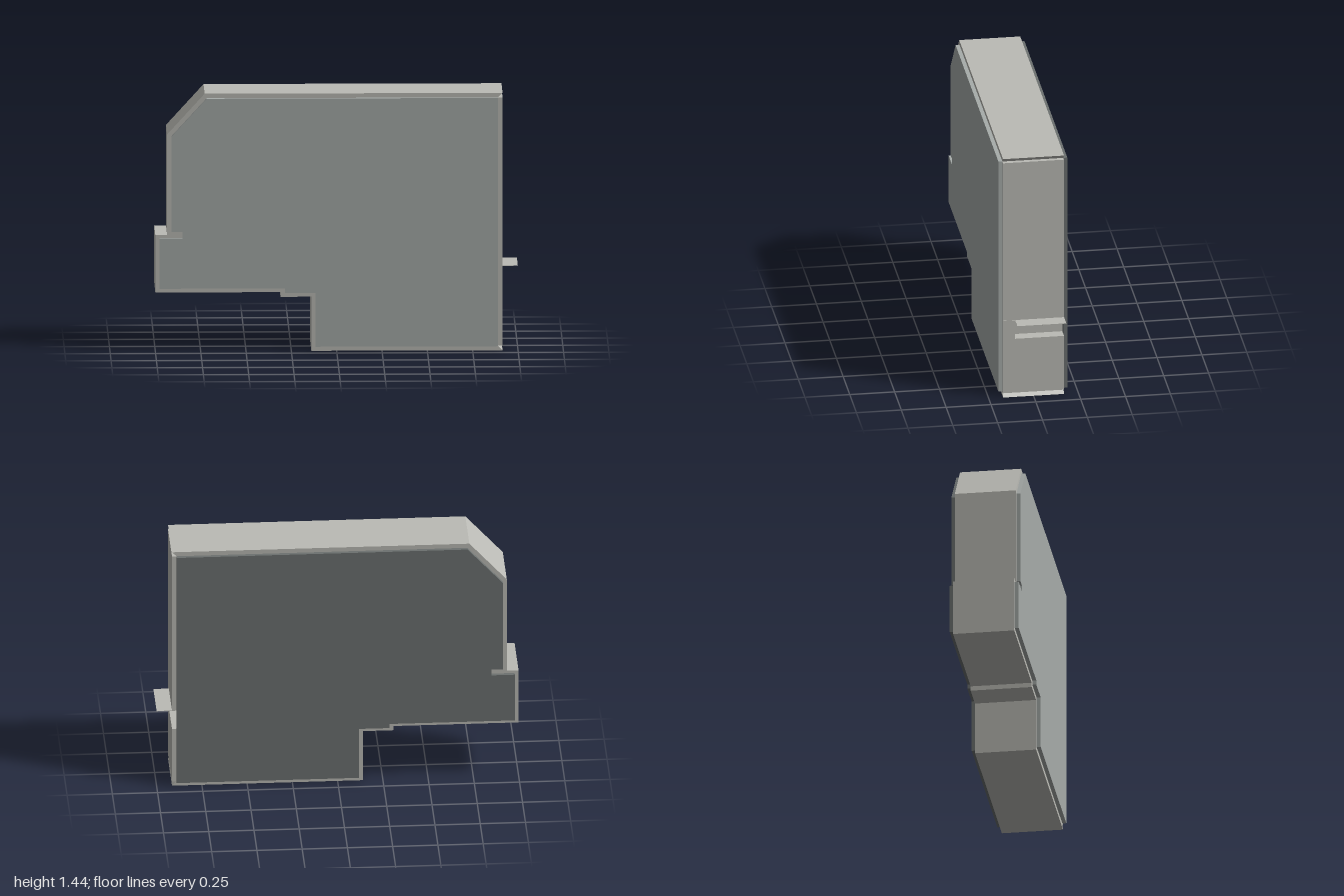
import * as THREE from 'three';

const material = (color) => new THREE.MeshStandardMaterial({ color, flatShading: true, side: THREE.DoubleSide });
const skinGrey = material(0xbbbbb5);
const frontGrey = material(0xa7acaa);
const backGrey = material(0x6c7170);

const HALF = 0.17; // half width of the folded skin
const PLATE = 0.022; // thickness of the side covers

// Outer and inner lines of the folded skin, from top front round the back to bottom front
const outer = [
  [0.915, 1.437], [-0.728, 1.437], [-0.935, 1.21], [-0.935, 0.648], [-1, 0.648], [-1, 0.328],
  [-0.31, 0.328], [-0.31, 0.302], [-0.14, 0.302], [-0.14, 0], [0.915, 0],
];
const inner = [
  [0.89, 1.412], [-0.717, 1.412], [-0.912, 1.2], [-0.912, 0.668], [-0.85, 0.668], [-0.85, 0.633],
  [-0.978, 0.633], [-0.978, 0.352], [-0.285, 0.352], [-0.285, 0.327], [-0.118, 0.327],
  [-0.118, 0.026], [0.89, 0.026],
];

function extrude(points, depth) {
  const shape = new THREE.Shape(points.map(([x, y]) => new THREE.Vector2(x, y)));
  return new THREE.ExtrudeGeometry(shape, { depth, bevelEnabled: false });
}

function add(group, name, geometry, mat = skinGrey) {
  const mesh = new THREE.Mesh(geometry, mat);
  mesh.name = name;
  group.add(mesh);
  return mesh;
}

// Box given by its low and high corners
function addBox(group, name, low, high) {
  const size = high.map((h, i) => h - low[i]);
  const middle = high.map((h, i) => (h + low[i]) / 2);
  return add(group, name, new THREE.BoxGeometry(...size)).position.set(...middle);
}

export function createModel() {
  const model = new THREE.Group();
  model.name = 'enclosure';

  // Folded skin with mitred ends, open towards the end panel
  add(model, 'skin', extrude([...outer, ...[...inner].reverse()], HALF * 2)).position.z = -HALF;

  // Raised covers on both broad sides
  add(model, 'frontCover', extrude(inner, PLATE), frontGrey).position.z = HALF;
  add(model, 'backCover', extrude(inner, PLATE), backGrey).position.z = -HALF - PLATE;

  // End panel in three pieces around an opening that runs out to the back edge
  addBox(model, 'upperEndPanel', [0.89, 0.463, -HALF], [0.915, 1.412, HALF]);
  addBox(model, 'lowerEndPanel', [0.89, 0.026, -HALF], [0.915, 0.35, HALF]);
  addBox(model, 'openingPost', [0.85, 0.35, 0.103], [0.915, 0.462, HALF]);

  // Shallow recess behind the opening
  addBox(model, 'recessBack', [0.846, 0.35, -HALF], [0.85, 0.463, 0.103]);
  addBox(model, 'recessFloor', [0.85, 0.346, -HALF], [0.89, 0.35, 0.103]);

  // Thin flap standing out over the opening, with a small peg beneath
  addBox(model, 'flap', [0.85, 0.461, -HALF], [1, 0.463, 0.103]);
  add(model, 'flapPeg', new THREE.CylinderGeometry(0.003, 0.003, 0.008, 12)).position.set(0.987, 0.457, -0.042);

  return model;
}
